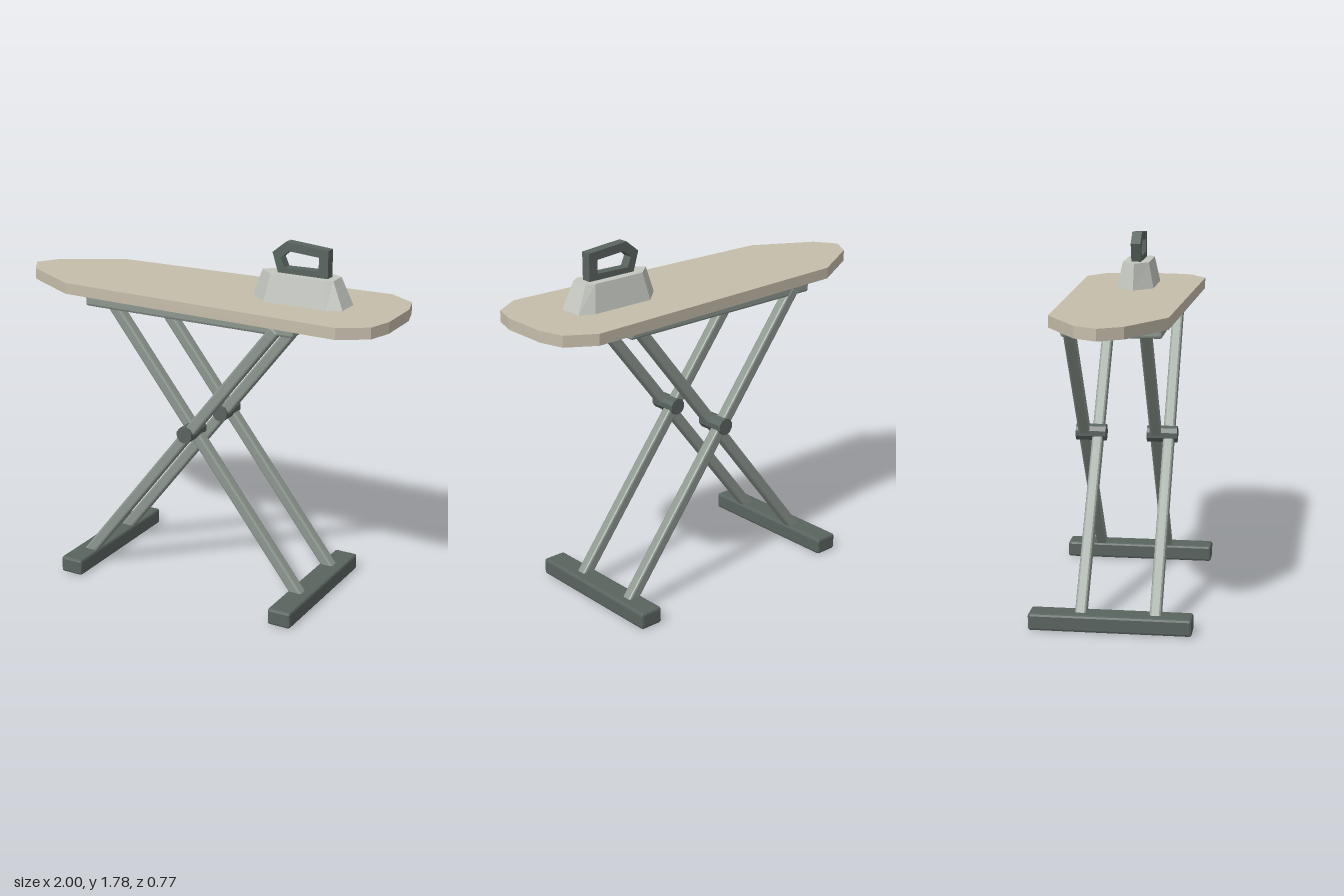
import * as THREE from 'three';
import { RoundedBoxGeometry } from 'three/addons/geometries/RoundedBoxGeometry.js';

const material = (color) => new THREE.MeshStandardMaterial({ color, flatShading: true });

export function createModel() {
  const group = new THREE.Group();
  const cloth = material(0xc6bdab);
  const frame = material(0x8c978f);
  const dark = material(0x59645f);
  const metal = material(0xc4c7c0);

  const add = (name, geometry, mat, x = 0, y = 0, z = 0) => {
    const mesh = new THREE.Mesh(geometry, mat);
    mesh.name = name;
    mesh.position.set(x, y, z);
    group.add(mesh);
    return mesh;
  };
  const chamferBox = (w, h, d, r) => new RoundedBoxGeometry(w, h, d, 1, r);

  // Full outline from a half outline [x, z], mirrored across z = 0
  const mirrored = (half) => {
    const other = half.filter(([, z]) => z > 0).reverse().map(([x, z]) => [x, -z]);
    return [...half, ...other].map(([x, z]) => new THREE.Vector2(x, z));
  };

  // Board: tapered nose at -x, squared tail at +x
  const boardShape = new THREE.Shape(mirrored([
    [-1, 0], [-0.93, 0.11], [-0.64, 0.273], [0.83, 0.32], [0.965, 0.235], [1, 0.115],
  ]));
  const boardGeometry = new THREE.ExtrudeGeometry(boardShape, { depth: 0.055, bevelEnabled: false });
  boardGeometry.rotateX(-Math.PI / 2);
  add('board', boardGeometry, cloth, 0, 1.445, 0);

  // Support tray under the board
  add('supportTray', chamferBox(1.13, 0.06, 0.47, 0.012), frame, 0.015, 1.417, 0);

  // Crossed legs: two pairs, mirrored about the pivot line
  const pivotX = 0.015;
  const leg = (name, side, z) => {
    const foot = new THREE.Vector2(pivotX + side * 0.6, 0.045);
    const head = new THREE.Vector2(pivotX - side * 0.472, 1.417);
    const span = head.clone().sub(foot);
    const mid = foot.clone().add(head).multiplyScalar(0.5);
    const mesh = add(name, chamferBox(span.length(), 0.055, 0.055, 0.01), frame, mid.x, mid.y, z);
    mesh.rotation.z = Math.atan2(span.y, span.x);
  };
  for (const z of [0.212, -0.142]) leg('outwardLeg', -1, z);
  for (const z of [0.147, -0.21]) leg('inwardLeg', 1, z);

  // Pivot bolts through each crossing
  for (const z of [0.179, -0.176]) {
    const bolt = new THREE.CylinderGeometry(0.042, 0.042, 0.15, 10);
    bolt.rotateX(Math.PI / 2);
    add('pivotBolt', bolt, dark, pivotX, 0.82, z);
  }

  // Floor bars
  for (const side of [-1, 1]) {
    add('footBar', chamferBox(0.12, 0.083, 0.775, 0.012), dark, pivotX + side * 0.592, 0.0415, 0);
  }

  // Iron body: a boat-shaped outline lofted up to a smaller one
  const lower = mirrored([[0.253, 0], [0.353, 0.094], [0.675, 0.094], [0.745, 0.06]]);
  const upper = mirrored([[0.3, 0], [0.375, 0.067], [0.65, 0.067], [0.688, 0.045]]);
  const points = [
    ...lower.flatMap((p) => [p.x, 1.5, p.y]),
    ...upper.flatMap((p) => [p.x, 1.63, p.y]),
  ];
  const n = lower.length;
  const faces = [];
  for (let i = 0; i < n; i++) {
    const j = (i + 1) % n;
    faces.push(i, j, n + j, i, n + j, n + i);
    if (i > 0 && i < n - 1) faces.push(0, i + 1, i, n, n + i, n + i + 1);
  }
  const bodyGeometry = new THREE.BufferGeometry();
  bodyGeometry.setAttribute('position', new THREE.Float32BufferAttribute(points, 3));
  bodyGeometry.setIndex(faces);
  const flatBody = bodyGeometry.toNonIndexed();
  flatBody.computeVertexNormals();
  add('ironBody', flatBody, metal);

  // Iron handle: closed loop with a hand opening
  const toPoints = (list) => list.map(([x, y]) => new THREE.Vector2(x, y));
  const handleShape = new THREE.Shape(toPoints([
    [0.395, 1.625], [0.65, 1.625], [0.65, 1.762], [0.433, 1.78], [0.364, 1.724],
  ]));
  handleShape.holes.push(new THREE.Path(toPoints([
    [0.428, 1.656], [0.408, 1.702], [0.45, 1.737], [0.603, 1.725], [0.603, 1.66],
  ])));
  const handle = new THREE.ExtrudeGeometry(handleShape, { depth: 0.05, bevelEnabled: false });
  add('ironHandle', handle, dark, 0, 0, -0.025);

  return group;
}
